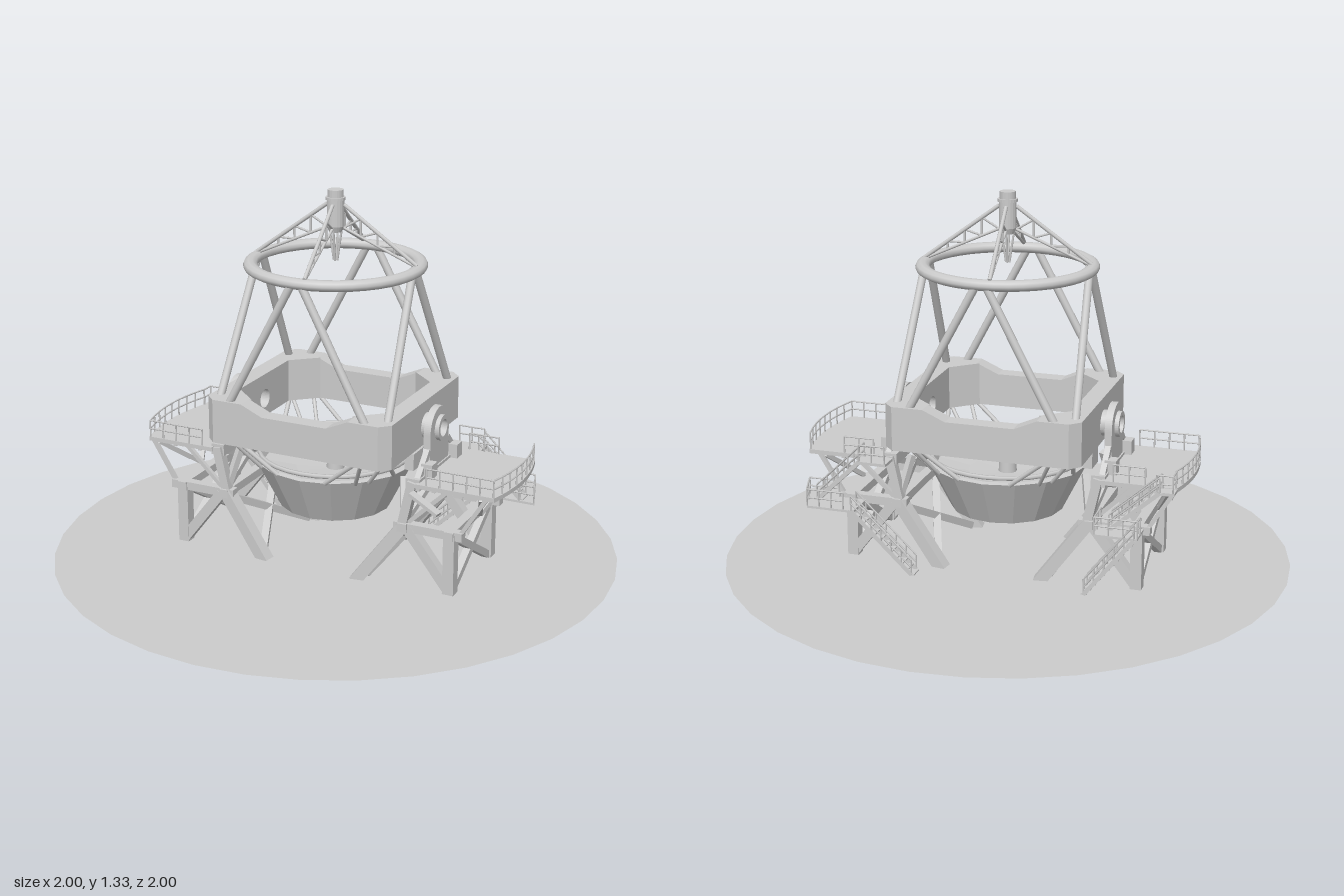
import * as THREE from 'three';

const V = (x, y, z) => new THREE.Vector3(x, y, z);
const grey = new THREE.MeshStandardMaterial({ color: 0xcccccc, side: THREE.DoubleSide });
const facet = new THREE.MeshStandardMaterial({ color: 0xcccccc, side: THREE.DoubleSide, flatShading: true });

export function createModel() {
  const root = new THREE.Group();
  let part;
  const begin = (name) => { part = new THREE.Group(); part.name = name; root.add(part); };
  const add = (name, geo, mat = grey) => {
    const m = new THREE.Mesh(geo, mat);
    m.name = name;
    part.add(m);
    return m;
  };
  // square beam between two points
  const beam = (name, a, b, w, h = w) => {
    const m = add(name, new THREE.BoxGeometry(w, h, a.distanceTo(b)), facet);
    m.position.copy(a).lerp(b, 0.5);
    m.lookAt(b);
  };
  // round tube between two points
  const rod = (name, a, b, r, sides = 10) => {
    const m = add(name, new THREE.CylinderGeometry(r, r, a.distanceTo(b), sides));
    m.position.copy(a).lerp(b, 0.5);
    m.quaternion.setFromUnitVectors(V(0, 1, 0), b.clone().sub(a).normalize());
  };
  const box = (name, x, y, z, w, h, d) =>
    add(name, new THREE.BoxGeometry(w, h, d), facet).position.set(x, y, z);
  const poly = (pts) => new THREE.Shape(pts.map(([x, y]) => new THREE.Vector2(x, y)));
  const extrude = (shape, depth) =>
    new THREE.ExtrudeGeometry(shape, { depth, bevelEnabled: false, curveSegments: 20 });
  // plan outline (x, z) extruded from y0 up to y1
  const slab = (name, shape, y0, y1) =>
    add(name, extrude(shape, y1 - y0).rotateX(Math.PI / 2).translate(0, y1, 0), facet);
  // side outline (z, y) extruded from x0 to x1
  const sidePlate = (name, shape, x0, x1) =>
    add(name, extrude(shape, Math.abs(x1 - x0)).rotateY(Math.PI / 2).translate(Math.min(x0, x1), 0, 0));
  const circleHole = (shape, y, r) => {
    shape.holes.push(new THREE.Path().absarc(0, y, r, 0, Math.PI * 2, true));
    return shape;
  };
  // handrail with posts along a path
  const railing = (pts, h = 0.06) => {
    for (let i = 0; i < pts.length - 1; i++) {
      const [a, b] = [pts[i], pts[i + 1]];
      for (const k of [0.5, 1]) rod('handrail', a.clone().setY(a.y + h * k), b.clone().setY(b.y + h * k), 0.003, 5);
      const n = Math.max(1, Math.round(a.distanceTo(b) / 0.05));
      for (let j = 0; j <= n; j++) {
        const p = a.clone().lerp(b, j / n);
        rod('railPost', p, p.clone().setY(p.y + h), 0.003, 5);
      }
    }
  };
  // flight of stairs in the xy plane, centred on a.z
  const stairs = (a, b, width) => {
    for (const k of [-0.5, 0.5]) {
      const o = V(0, 0, width * k);
      beam('stringer', a.clone().add(o), b.clone().add(o), 0.005, 0.014);
      railing([a.clone().add(o), b.clone().add(o)], 0.055);
    }
    const n = Math.round(Math.abs(b.y - a.y) / 0.02);
    for (let i = 0; i <= n; i++) {
      const p = a.clone().lerp(b, i / n);
      box('tread', p.x, p.y, p.z, 0.02, 0.004, width);
    }
  };

  // Floor disc
  begin('floor');
  add('floorDisc', new THREE.CircleGeometry(1, 36).rotateX(-Math.PI / 2), facet).position.y = 0.02;

  // Centre section: a square frame with chamfered corners
  begin('centreFrame');
  const front = poly([[-0.275, 0.475], [0.275, 0.475], [0.275, 0.63], [0.2, 0.63], [0.12, 0.595],
    [-0.12, 0.595], [-0.2, 0.63], [-0.275, 0.63]]);
  for (const s of [-1, 1]) {
    add('frameWall', extrude(front, 0.06), facet).position.z = s > 0 ? 0.26 : -0.32;
    const side = circleHole(poly([[-0.255, 0.475], [0.255, 0.475], [0.255, 0.63], [-0.255, 0.63]]), 0.54, 0.034);
    sidePlate('trunnionWall', side, s * 0.28, s * 0.345);
    for (const t of [-1, 1]) {
      const corner = [[0.27, 0.32], [0.31, 0.32], [0.345, 0.285], [0.345, 0.25], [0.28, 0.25],
        [0.28, 0.18], [0.19, 0.26], [0.27, 0.26]].map(([x, z]) => [x * s, z * t]);
      slab('frameCorner', poly(corner), 0.475, 0.63);
    }
  }

  // Upper truss: a V of tubes on each of the four sides
  begin('upperTruss');
  for (let q = 0; q < 4; q++) for (const t of [-1, 1]) {
    const turn = (v) => v.applyAxisAngle(V(0, 1, 0), q * Math.PI / 2);
    const base = q % 2 ? 0.315 : 0.3;
    rod('trussTube', turn(V(t * 0.255, 0.62, base)), turn(V(t * 0.02, 1.06, 0.292)), 0.014, 12);
  }
  const ring = add('topRing', new THREE.TorusGeometry(0.29, 0.025, 10, 40).rotateX(Math.PI / 2));
  ring.scale.y = 0.75;
  ring.position.y = 1.068;

  // Secondary mirror unit on four braced vanes
  begin('secondaryUnit');
  add('secondaryHousing', new THREE.LatheGeometry([[0, 1.18], [0.022, 1.18], [0.03, 1.2], [0.03, 1.29], [0.034, 1.29],
    [0.034, 1.3], [0.027, 1.3], [0.027, 1.325], [0, 1.325]].map((p) => new THREE.Vector2(...p)), 20), facet);
  for (let q = 0; q < 4; q++) {
    const turn = (x, y) => V(x, y, 0).applyAxisAngle(V(0, 1, 0), q * Math.PI / 2 + 0.1);
    rod('upperVane', turn(0.03, 1.275), turn(0.29, 1.085), 0.007, 8);
    rod('lowerVane', turn(0.03, 1.195), turn(0.29, 1.08), 0.005, 8);
    for (const x of [0.09, 0.15, 0.21]) {
      const up = 1.275 - (x - 0.03) * 0.73, low = (u) => 1.195 - (u - 0.03) * 0.44;
      rod('vaneStrut', turn(x, up), turn(x, low(x)), 0.004, 6);
      rod('vaneBrace', turn(x, up), turn(x - 0.06, low(x - 0.06)), 0.004, 6);
    }
    rod('housingStrut', turn(0.022, 1.19), turn(0.006, 1.08), 0.004, 6);
  }

  // Primary mirror cell hung below the frame
  begin('mirrorCell');
  add('cell', new THREE.LatheGeometry([[0, 0.205], [0.2, 0.205], [0.285, 0.375], [0.265, 0.378], [0.255, 0.35],
    [0.14, 0.332], [0, 0.325]].map((p) => new THREE.Vector2(...p)), 16), facet);
  add('centralBaffle', new THREE.CylinderGeometry(0.026, 0.032, 0.155, 20)).position.y = 0.405;
  const lip = add('cellRing', new THREE.TorusGeometry(0.268, 0.008, 6, 32).rotateX(Math.PI / 2));
  lip.position.y = 0.395;
  for (let q = 0; q < 4; q++) for (const t of [-1, 1]) {
    const turn = (v) => v.applyAxisAngle(V(0, 1, 0), q * Math.PI / 2);
    rod('cellStrut', turn(V(t * 0.22, 0.48, 0.295)), turn(V(t * 0.09, 0.375, 0.265)), 0.008, 8);
    rod('cellHanger', turn(V(t * 0.24, 0.48, 0.3)), turn(V(t * 0.18, 0.37, 0.215)), 0.007, 8);
  }

  // Two support piers with bearings and platforms
  for (const s of [-1, 1]) {
    const P = (x, y, z) => V(s * x, y, z);
    begin(s > 0 ? 'leftPier' : 'rightPier');
    for (const t of [-1, 1]) {
      const z = 0.175 * t;
      beam('outerLeg', P(0.515, 0.24, z), P(0.515, 0.01, z), 0.04);
      beam('innerLeg', P(0.345, 0.24, z), P(0.175, 0.01, 0.2 * t), 0.042);
      beam('diagonalLeg', P(0.36, 0.23, z), P(0.515, 0.03, z), 0.036);
      beam('sideBeam', P(0.31, 0.235, z), P(0.56, 0.235, z), 0.034, 0.03);
      beam('bearingPost', P(0.34, 0.24, z), P(0.375, 0.4, z), 0.032);
      beam('inwardPost', P(0.345, 0.24, z), P(0.315, 0.39, 0.12 * t), 0.022);
      beam('platformStrut', P(0.55, 0.24, z), P(0.64, 0.385, z), 0.014);
      beam('platformBrace', P(0.36, 0.25, z), P(0.5, 0.385, z), 0.014);
      // crossed braces on the end faces
      beam('lowerCrossBrace', P(0.515, 0.23, z), P(0.515, 0.02, -z), 0.026);
      beam('innerCrossBrace', P(0.335, 0.22, z), P(0.2, 0.03, -z), 0.026);
      beam('upperCrossBrace', P(0.365, 0.39, z), P(0.345, 0.25, -z), 0.022);
      beam('outerCrossBrace', P(0.62, 0.38, z), P(0.55, 0.25, 0), 0.016);
    }
    for (const x of [0.345, 0.515]) beam('endBeam', P(x, 0.235, -0.2), P(x, 0.235, 0.2), 0.034, 0.03);

    // Bearing block, arched plates and trunnion
    box('bearingSill', s * 0.375, 0.39, 0, 0.05, 0.04, 0.36);
    box('drivePad', s * 0.3, 0.41, 0, 0.035, 0.06, 0.08);
    const arch = poly([[-0.08, 0.37], [0.08, 0.37], [0.08, 0.535]]);
    arch.absarc(0, 0.535, 0.08, 0, Math.PI);
    sidePlate('bearingPlate', circleHole(arch, 0.54, 0.034), s * 0.37, s * 0.395);
    const hub = circleHole(new THREE.Shape().absarc(0, 0.54, 0.045, 0, Math.PI * 2), 0.54, 0.03);
    sidePlate('trunnion', hub, s * 0.335, s * 0.41);
    for (const t of [-1, 1]) {
      beam('bearingRib', P(0.385, 0.4, 0.16 * t), P(0.385, 0.48, 0.08 * t), 0.02);
      box('bearingClamp', s * 0.405, 0.425, 0.11 * t, 0.04, 0.05, 0.045);
    }

    // Platform with a bowed outer edge, rails on three sides
    begin(s > 0 ? 'leftPlatform' : 'rightPlatform');
    const reach = s > 0 ? 0.7 : 0.675, zw = 0.195;
    const edge = [];
    for (let i = -4; i <= 4; i++) edge.push([s * (reach - 0.028 * (i / 4) ** 2), zw * i / 4]);
    slab('deck', poly([[s * 0.39, -zw], ...edge, [s * 0.39, zw]]), 0.385, 0.4);
    const rim = edge.map(([x, z]) => V(x * 0.995, 0.4, z * 0.98));
    railing([...rim, P(0.43, 0.4, zw * 0.98)]);
    railing([P(0.43, 0.4, -zw * 0.98), P(0.54, 0.4, -zw * 0.98)]);
    for (const x of [0.45, 0.55, 0.63]) beam('deckJoist', P(x, 0.38, -0.18), P(x, 0.38, 0.18), 0.012);
  }

  // Stairs and landing behind the left platform
  begin('leftStairs');
  slab('landing', poly([[0.46, -0.315], [0.635, -0.315], [0.675, -0.2], [0.46, -0.2]]), 0.228, 0.236);
  railing([V(0.5, 0.236, -0.312), V(0.635, 0.236, -0.312), V(0.672, 0.236, -0.2), V(0.56, 0.236, -0.2)]);
  stairs(V(0.62, 0.24, -0.23), V(0.46, 0.395, -0.23), 0.055);
  stairs(V(0.47, 0.235, -0.29), V(0.25, 0.025, -0.29), 0.05);
  slab('stairHead', poly([[0.36, -0.26], [0.47, -0.26], [0.47, -0.19], [0.36, -0.19]]), 0.388, 0.398);
  railing([V(0.46, 0.398, -0.258), V(0.365, 0.398, -0.258)]);
  beam('serviceStep', V(0.38, 0.37, 0.205), V(0.49, 0.32, 0.225), 0.03, 0.012);

  // Stairs and landing behind the right platform
  begin('rightStairs');
  slab('landing', poly([[-0.54, -0.295], [-0.39, -0.295], [-0.39, -0.2], [-0.54, -0.2]]), 0.238, 0.246);
  railing([V(-0.54, 0.246, -0.25), V(-0.54, 0.246, -0.292), V(-0.392, 0.246, -0.292), V(-0.392, 0.246, -0.2)]);
  stairs(V(-0.6, 0.395, -0.22), V(-0.43, 0.245, -0.22), 0.045);
  stairs(V(-0.53, 0.24, -0.27), V(-0.36, 0.025, -0.27), 0.05);
  slab('stairHead', poly([[-0.65, -0.24], [-0.59, -0.24], [-0.59, -0.19], [-0.65, -0.19]]), 0.388, 0.398);
  railing([V(-0.59, 0.398, -0.24), V(-0.645, 0.398, -0.24), V(-0.645, 0.398, -0.19)]);

  return root;
}
